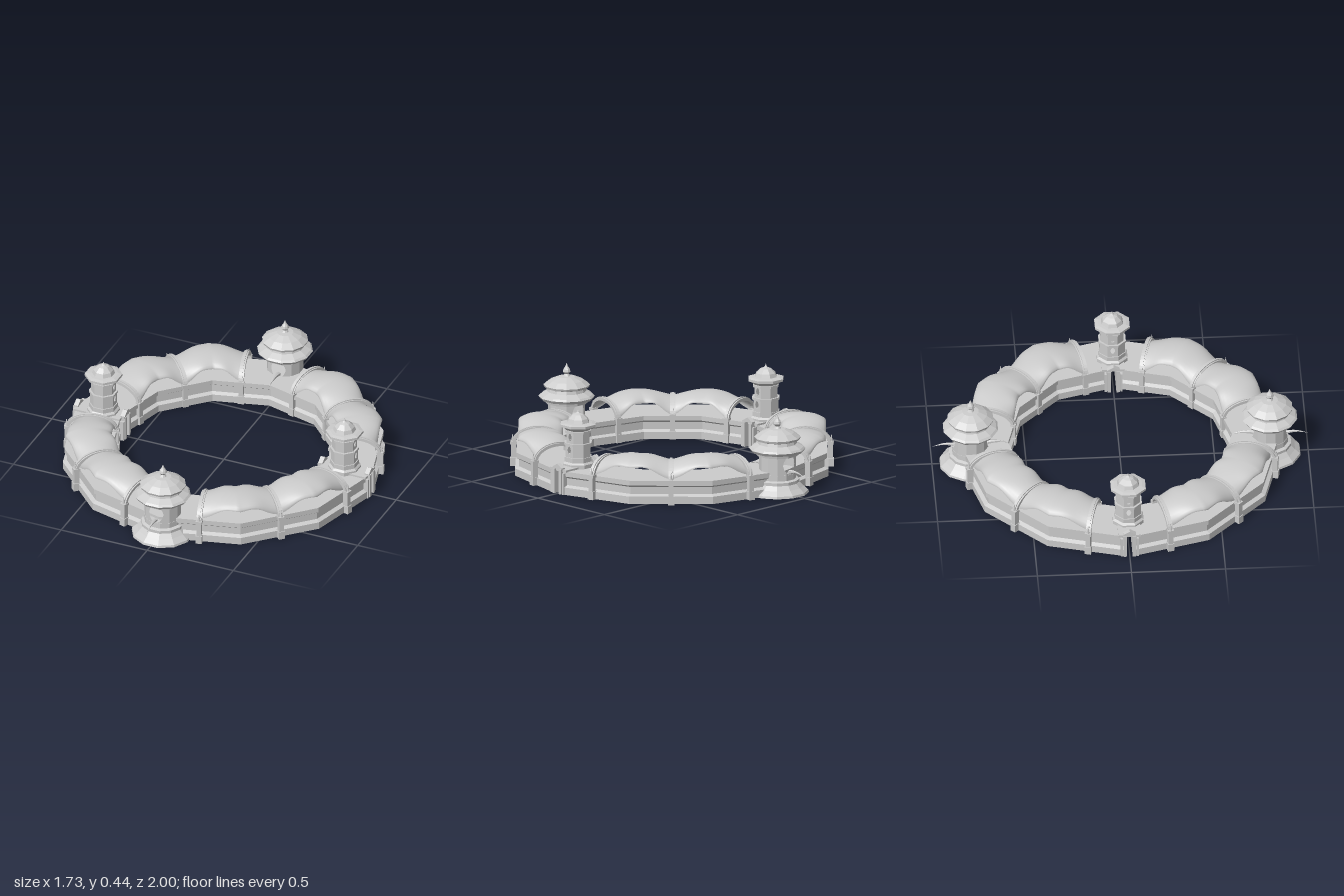
import * as THREE from 'three';
import { ParametricGeometry } from 'three/addons/geometries/ParametricGeometry.js';

const PI = Math.PI, DEG = PI / 180;
const flat = new THREE.MeshStandardMaterial({ color: 0xcccccc, flatShading: true });
const flatOpen = new THREE.MeshStandardMaterial({ color: 0xcccccc, flatShading: true, side: THREE.DoubleSide });
const smoothOpen = new THREE.MeshStandardMaterial({ color: 0xcccccc, side: THREE.DoubleSide });

function add(parent, name, geometry, x = 0, y = 0, z = 0, material = flat) {
  const mesh = new THREE.Mesh(geometry, material);
  mesh.name = name;
  mesh.position.set(x, y, z);
  parent.add(mesh);
  return mesh;
}

// Box given by its centre in x and z and its bottom and top
function block(parent, name, w, y0, y1, d, x, z) {
  return add(parent, name, new THREE.BoxGeometry(w, y1 - y0, d), x, (y0 + y1) / 2, z);
}

function lathe(parent, name, points, sides) {
  const mesh = add(parent, name, new THREE.LatheGeometry(points.map(p => new THREE.Vector2(...p)), sides));
  mesh.rotation.y = PI / sides;
  return mesh;
}

// Distance to the edge of a regular polygon whose first corner is at angle 0
function polygonRadius(t, corner, sides) {
  const step = 2 * PI / sides;
  const a = ((t % step) + step) % step;
  return corner * Math.cos(step / 2) / Math.cos(a - step / 2);
}

// Many-sided wall with round-headed openings towards local +z and -z
function piercedWall(parent, name, r, sides, y0, y1, halfW, yc, halfH) {
  const wall = upper => new ParametricGeometry((u, v, p) => {
    const t = u * 2 * PI;
    const R = polygonRadius(t - PI / sides, r, sides);
    const x = R * Math.sin(t);
    const h = halfH * Math.sqrt(Math.max(0, 1 - (x / halfW) ** 2));
    const y = upper ? yc + h + (y1 - yc - h) * v : y0 + (yc - h - y0) * v;
    p.set(x, y, R * Math.cos(t));
  }, 96, 1);
  add(parent, name + 'Lower', wall(false), 0, 0, 0, flatOpen);
  add(parent, name + 'Upper', wall(true), 0, 0, 0, flatOpen);
}

// Half of the twelve-sided wall, swept from a section and capped at the gate slots
function halfRing() {
  const section = [[0.86, 0], [0.86, 0.04], [0.838, 0.05], [0.838, 0.088], [0.852, 0.098], [0.852, 0.125],
    [0.595, 0.125], [0.595, 0.1], [0.61, 0.09], [0.61, 0.05], [0.59, 0.04], [0.59, 0]];
  const n = section.length, slot = 0.015, pos = [];
  const at = (k, j) => {
    const [r, y] = section[j % n];
    if (k === 0) return [r, y, slot];
    if (k === 6) return [-r, y, slot];
    return [r * Math.cos(k * 30 * DEG), y, r * Math.sin(k * 30 * DEG)];
  };
  for (let k = 0; k < 6; k++) for (let j = 0; j < n; j++) {
    const a = at(k, j), b = at(k, j + 1), c = at(k + 1, j + 1), d = at(k + 1, j);
    pos.push(...a, ...b, ...c, ...a, ...c, ...d);
  }
  const faces = THREE.ShapeUtils.triangulateShape(section.map(p => new THREE.Vector2(...p)), []);
  for (const [a, b, c] of faces) {
    pos.push(...at(0, a), ...at(0, c), ...at(0, b), ...at(6, a), ...at(6, b), ...at(6, c));
  }
  const g = new THREE.BufferGeometry();
  g.setAttribute('position', new THREE.Float32BufferAttribute(pos, 3));
  g.computeVertexNormals();
  return g;
}

// Vaulted canopy over one bay, its edges lifted into scalloped arches
function canopy(centre) {
  return new ParametricGeometry((u, w, p) => {
    const t = (centre - 15 + 30 * u) * DEG;
    const inner = polygonRadius(t, 0.6, 12), outer = polygonRadius(t, 0.845, 12);
    const r = inner + (outer - inner) * (1 - Math.cos(PI * w)) / 2;
    const lift = Math.sin(PI * u);
    const edge = 0.13 + 0.068 * lift - 0.006 * Math.sin(5 * PI * u);
    const crest = 0.205 + 0.032 * lift;
    p.set(r * Math.cos(t), edge + (crest - edge) * Math.sin(PI * w), r * Math.sin(t));
  }, 20, 14);
}

// Arched rib with a post at each end; local +x points outwards
function rib() {
  const g = new THREE.Group();
  g.name = 'rib';
  const arch = (a, b, t, depth) => {
    const s = new THREE.Shape();
    s.absellipse(0, 0, a, b, 0, PI, false);
    s.absellipse(0, 0, a - t, b - t, PI, 0, true);
    return new THREE.ExtrudeGeometry(s, { depth, bevelEnabled: false, curveSegments: 10 }).translate(0, 0, -depth / 2);
  };
  add(g, 'ribArch', arch(0.137, 0.088, 0.016, 0.028), 0.708, 0.125, 0);
  add(g, 'ribRidge', arch(0.142, 0.093, 0.016, 0.012), 0.708, 0.125, 0);
  for (const [x, d] of [[0.84, 0.03], [0.576, 0.022]]) {
    block(g, 'ribPost', d, 0, 0.125, 0.026, x, 0);
    block(g, 'ribPostFoot', d + 0.008, 0, 0.045, 0.034, x, 0);
    block(g, 'ribPostCap', d + 0.006, 0.118, 0.134, 0.034, x, 0);
  }
  add(g, 'ribSpike', new THREE.ConeGeometry(0.008, 0.045, 6), 0.846, 0.156, 0);
  return g;
}

// Tapered spike along +z whose tip curls down
function horn(length, radius, droop) {
  const g = new THREE.ConeGeometry(radius, length, 6, 6).translate(0, length / 2, 0).rotateX(PI / 2);
  const p = g.attributes.position;
  for (let i = 0; i < p.count; i++) {
    const s = p.getZ(i) / length;
    p.setY(i, p.getY(i) + droop * (1.6 * s - 2.2 * s * s));
  }
  g.computeVertexNormals();
  return g;
}

// Round pavilion; local +z points outwards
function pavilion() {
  const g = new THREE.Group();
  g.name = 'pavilion';
  lathe(g, 'pavilionBase', [[0, 0], [0.168, 0], [0.165, 0.012], [0.138, 0.035], [0.117, 0.058], [0.117, 0.074],
    [0.1, 0.08], [0.1, 0.11], [0, 0.11]], 12);
  piercedWall(g, 'pavilionWall', 0.098, 12, 0.11, 0.22, 0.04, 0.163, 0.05);
  lathe(g, 'pavilionRoof', [[0, 0.218], [0.098, 0.205], [0.116, 0.207], [0.118, 0.22], [0.14, 0.225], [0.15, 0.24],
    [0.14, 0.25], [0.105, 0.268], [0.1, 0.284], [0.12, 0.29], [0.124, 0.302], [0.09, 0.327], [0.045, 0.346], [0, 0.35]], 12);
  lathe(g, 'pavilionFinial', [[0.022, 0.345], [0.012, 0.36], [0.022, 0.372], [0.018, 0.385], [0.008, 0.4], [0, 0.42]], 8);
  add(g, 'outerHorn', horn(0.115, 0.01, 0.02), 0, 0.125, 0.09);
  add(g, 'innerHorn', horn(0.13, 0.013, 0.02), 0, 0.132, -0.085).rotation.y = PI;
  return g;
}

// Octagonal watchtower; local +z points outwards
function tower() {
  const g = new THREE.Group();
  g.name = 'tower';
  lathe(g, 'towerFoot', [[0, 0.125], [0.088, 0.125], [0.088, 0.145], [0.077, 0.155], [0.077, 0.18], [0, 0.185]], 8);
  piercedWall(g, 'lowerStorey', 0.072, 8, 0.18, 0.25, 0.011, 0.22, 0.02);
  piercedWall(g, 'upperStorey', 0.066, 8, 0.25, 0.33, 0.011, 0.29, 0.02);
  for (const [y, r] of [[0.25, 0.078], [0.318, 0.074]]) {
    lathe(g, 'towerBand', [[0.06, y - 0.006], [r, y - 0.006], [r, y + 0.006], [0.06, y + 0.006]], 8);
  }
  lathe(g, 'towerRoof', [[0, 0.33], [0.066, 0.325], [0.08, 0.338], [0.1, 0.345], [0.1, 0.358], [0.08, 0.363], [0.062, 0.365],
    [0.054, 0.385], [0.03, 0.407], [0.012, 0.414], [0.006, 0.42], [0, 0.435]], 8);
  return g;
}

// Narrow gateway under the tower; local +z points outwards
function gateway() {
  const g = new THREE.Group();
  g.name = 'gateway';
  block(g, 'gateDeck', 0.12, 0.122, 0.135, 0.27, 0, 0.715);
  for (const z of [0.574, 0.845]) {
    for (const s of [-1, 1]) {
      block(g, 'gatePost', 0.018, 0, 0.135, 0.035, s * 0.024, z);
      block(g, 'gateButtress', 0.012, 0, 0.115, 0.026, s * 0.042, z);
    }
    // Pointed lintel over the passage
    const s = new THREE.Shape([[-0.034, 0.128], [0, 0.138], [0.034, 0.128], [0.034, 0.142], [0, 0.163], [-0.034, 0.142]]
      .map(p => new THREE.Vector2(...p)));
    add(g, 'gateLintel', new THREE.ExtrudeGeometry(s, { depth: 0.025, bevelEnabled: false }), 0, 0, z - 0.0125);
  }
  return g;
}

export function createModel() {
  const model = new THREE.Group();
  model.name = 'walledRing';
  for (const turn of [0, PI]) {
    add(model, 'ringWall', halfRing()).rotation.y = turn;

    const house = pavilion();
    house.position.set(0, 0, turn ? -0.795 : 0.795);
    house.rotation.y = turn;
    model.add(house);

    const gate = gateway(), watch = tower();
    gate.rotation.y = watch.rotation.y = turn + PI / 2;
    watch.position.x = turn ? -0.7 : 0.7;
    model.add(gate, watch);
  }
  for (let k = 0; k < 12; k++) {
    const arch = rib();
    arch.rotation.y = (15 + 30 * k) * DEG;
    model.add(arch);
    if (k % 3) add(model, 'canopy', canopy(30 * k), 0, 0, 0, smoothOpen);
  }
  return model;
}
